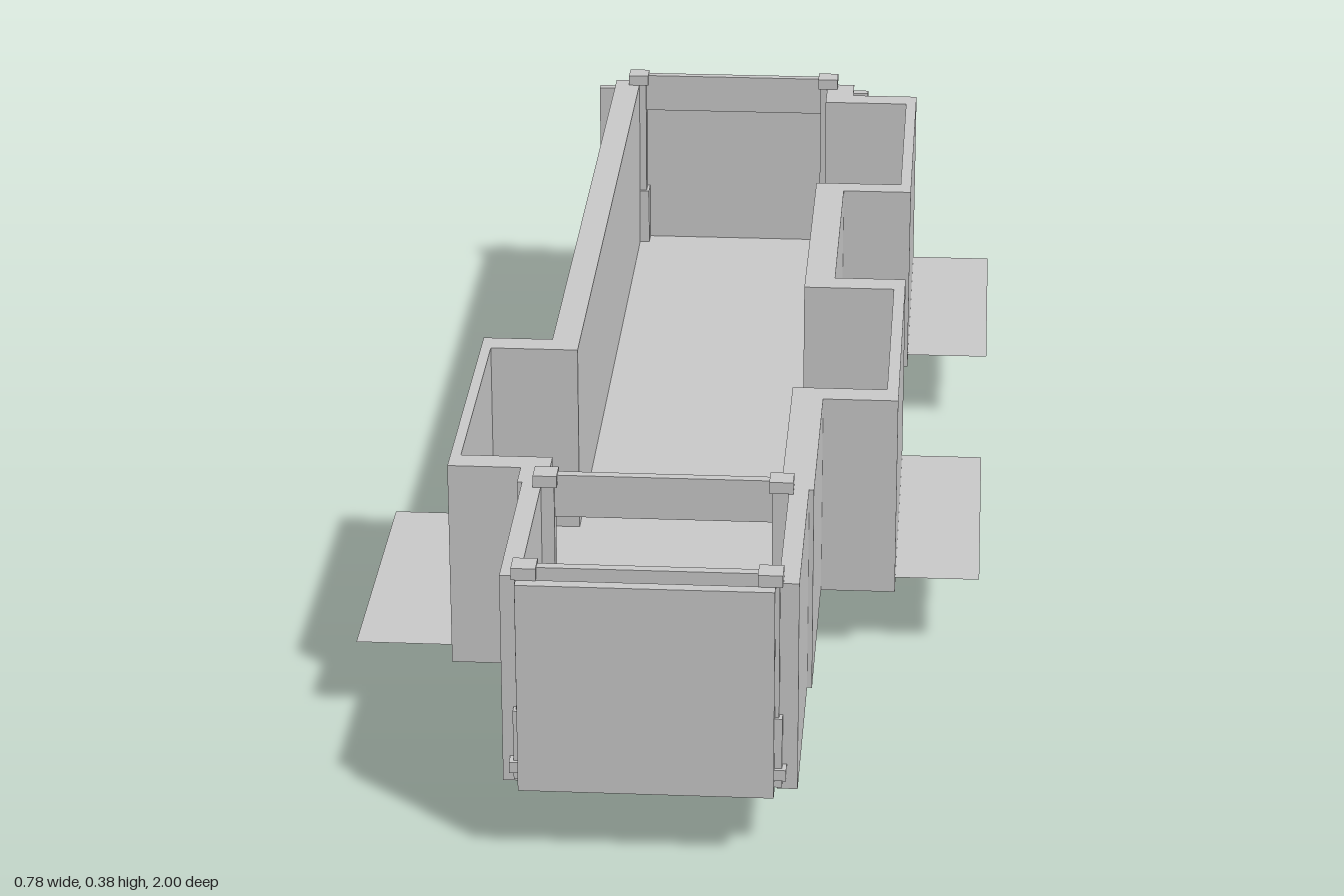
import * as THREE from 'three';

const BASE = 0.092, TOP = 0.36, FLOOR = 0.107;

export function createModel() {
  const model = new THREE.Group();
  const solid = new THREE.MeshStandardMaterial({ color: 0xcccccc, flatShading: true });
  const thin = new THREE.MeshStandardMaterial({ color: 0xcccccc, side: THREE.DoubleSide });

  const add = (name, geometry, material = solid, parent = model) => {
    const mesh = new THREE.Mesh(geometry, material);
    mesh.name = name;
    parent.add(mesh);
    return mesh;
  };
  // box given by its limits on each axis
  const box = (name, x0, x1, y0, y1, z0, z1, parent = model) => {
    const mesh = add(name, new THREE.BoxGeometry(x1 - x0, y1 - y0, z1 - z0), solid, parent);
    mesh.position.set((x0 + x1) / 2, (y0 + y1) / 2, (z0 + z1) / 2);
    return mesh;
  };
  // plan outline in x, z
  const plan = (points) => new THREE.Shape(points.map(([x, z]) => new THREE.Vector2(x, -z)));
  const wall = (name, points) => {
    const geometry = new THREE.ExtrudeGeometry(plan(points), { depth: TOP - BASE, bevelEnabled: false });
    add(name, geometry.rotateX(-Math.PI / 2)).position.y = BASE;
  };
  const sheet = (name, points) => {
    add(name, new THREE.ShapeGeometry(plan(points)).rotateX(-Math.PI / 2), thin).position.y = FLOOR;
  };

  // inner faces of the side walls, shared by walls and floor (back to front)
  const rightInner = [
    [-0.142, -0.75], [-0.142, 0.302], [-0.255, 0.302], [-0.255, 0.64], [-0.142, 0.64], [-0.142, 0.715],
  ];
  const leftInner = [
    [0.142, -0.75], [0.142, -0.67], [0.262, -0.67], [0.262, -0.33], [0.142, -0.33],
    [0.142, 0.066], [0.262, 0.066], [0.262, 0.405], [0.142, 0.405], [0.142, 0.715],
  ];

  // side walls with their bays
  wall('rightWall', [
    [-0.178, -0.75], [-0.178, 0.268], [-0.268, 0.268], [-0.268, 0.673], [-0.178, 0.673], [-0.178, 0.715],
    ...[...rightInner].reverse(),
  ]);
  wall('leftWall', [
    [0.182, -0.75], [0.182, -0.703], [0.277, -0.703], [0.277, -0.3], [0.182, -0.3],
    [0.182, 0.03], [0.277, 0.03], [0.277, 0.44], [0.182, 0.44], [0.182, 0.715],
    ...[...leftInner].reverse(),
  ]);

  // porch walls and front panel
  box('porchRightWall', -0.172, -0.148, BASE, TOP, 0.715, 0.975);
  box('porchLeftWall', 0.152, 0.176, BASE, TOP, 0.715, 0.975);
  box('frontPanel', -0.152, 0.149, BASE, TOP, 0.985, 1);

  // floor, raised a little above the bottom of the walls
  sheet('floor', [
    ...rightInner, [-0.15, 0.715], [-0.15, 0.985], [0.154, 0.985], [0.154, 0.715],
    ...[...leftInner].reverse(),
  ]);

  // floor sheets that stick out past the bays and the back
  for (const [name, x0, x1, z0, z1] of [
    ['leftBackLedge', 0.265, 0.39, -0.69, -0.308],
    ['leftFrontLedge', 0.265, 0.385, 0.045, 0.428],
    ['rightLedge', -0.39, -0.258, 0.27, 0.656],
    ['backLedge', -0.17, 0.166, -1, -0.745],
  ]) sheet(name, [[x0, z0], [x0, z1], [x1, z1], [x1, z0]]);

  // wide back panel reaching the ground
  box('backPanel', -0.204, 0.203, 0, 0.346, -0.765, -0.752);

  // door frames: stepped posts, caps, feet and a cross beam
  for (const [name, z] of [['frontFrame', 0.972], ['middleFrame', 0.715], ['backFrame', -0.742]]) {
    const frame = new THREE.Group();
    frame.name = name;
    model.add(frame);
    box('beam', -0.132, 0.132, 0.318, 0.373, z - 0.006, z + 0.006, frame);
    for (const side of [-1, 1]) {
      const post = (part, half, y0, y1) => {
        const x = side * 0.143;
        box(part, x - half, x + half, y0, y1, z - half, z + half, frame);
      };
      post('post', 0.011, 0.19, 0.362);
      post('postBase', 0.015, 0.1, 0.19);
      post('postCap', 0.0145, 0.36, 0.375);
    }
  }
  // small hinge blocks at the foot of the front panel
  for (const side of [-1, 1])
    box('hingeBlock', side * 0.156 - 0.007, side * 0.156 + 0.007, 0.111, 0.125, 0.975, 0.992);

  return model;
}
